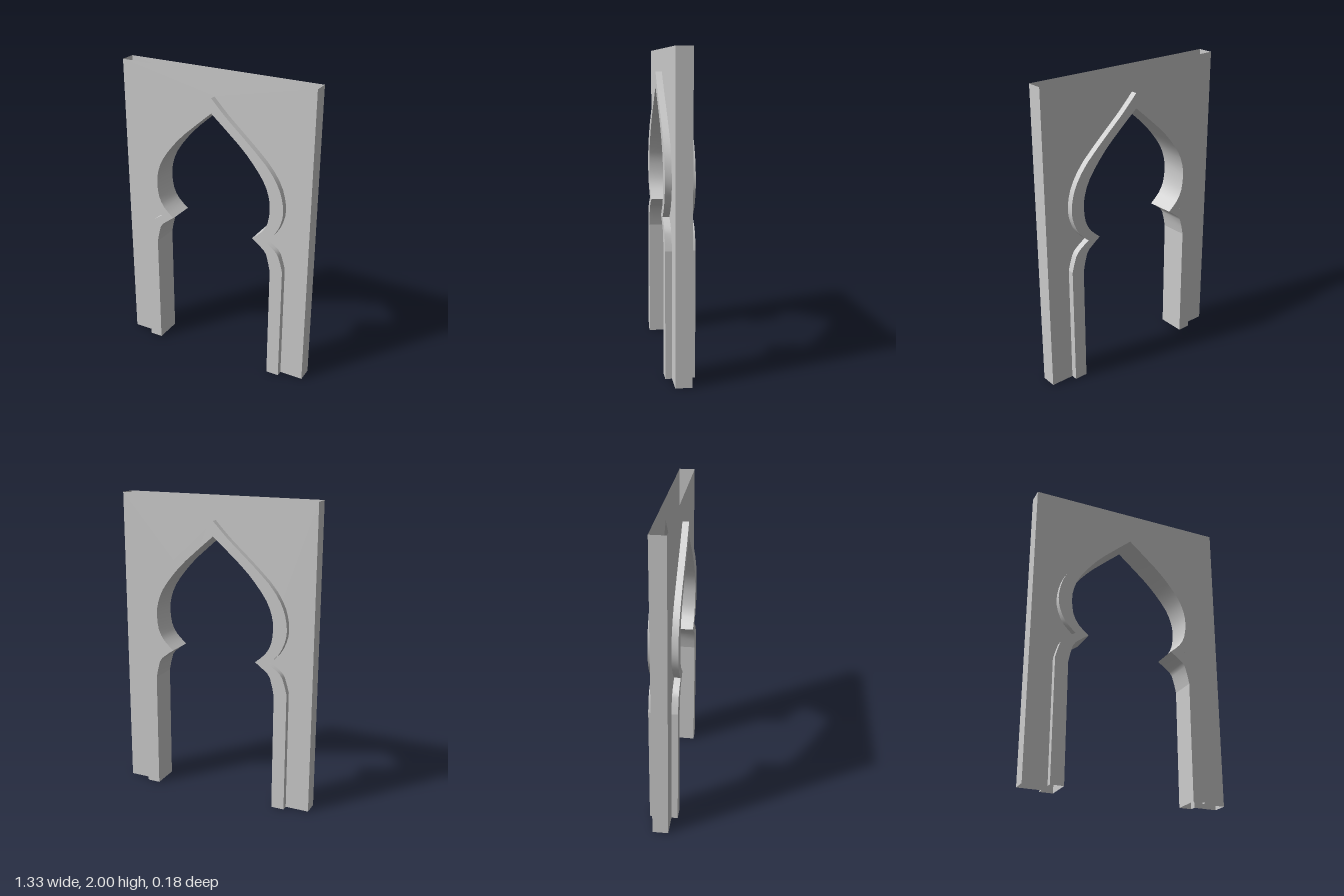
import * as THREE from 'three';

const HALF_W = 0.665, HEIGHT = 2, WALL_Z = 0.051, TRIM_Z = 0.092;
const material = new THREE.MeshStandardMaterial({ color: 0xcccccc, side: THREE.DoubleSide });

// Half outlines (+x side, from the floor to the apex), split at the creases
const INNER = [
  [[0.424, 0], [0.424, 0.78]],
  [[0.424, 0.78], [0.396, 0.895], [0.355, 0.94], [0.293, 0.985]],
  [[0.293, 0.985], [0.36, 1.045], [0.4, 1.12], [0.411, 1.22], [0.4, 1.3], [0.363, 1.39],
    [0.285, 1.495], [0.19, 1.595], [0, 1.76]],
];
const OUTER = [
  [[0.51, 0], [0.51, 0.8]],
  [[0.51, 0.8], [0.48, 0.9], [0.441, 0.945], [0.381, 0.985]],
  [[0.381, 0.985], [0.448, 1.05], [0.488, 1.13], [0.502, 1.21], [0.49, 1.3], [0.455, 1.39],
    [0.375, 1.5], [0.215, 1.65], [0.1, 1.753], [0, 1.856]],
];

// Sample each piece and mirror it, giving pieces from right foot over to left foot
function archPieces(half) {
  const right = half.map(piece => {
    const pts = piece.map(p => new THREE.Vector2(...p));
    return pts.length === 2 ? pts : new THREE.SplineCurve(pts).getPoints((pts.length - 1) * 2);
  });
  const left = right.map(piece =>
    piece.map(p => new THREE.Vector2(-p.x, p.y)).reverse()).reverse();
  return [...right, ...left];
}

// Ribbon running along a path, spanning zA to zB, smooth along its length
function ribbon(points, zA, zB) {
  const pos = [], index = [];
  points.forEach((p, i) => {
    pos.push(p.x, p.y, zA, p.x, p.y, zB);
    if (i) {
      const a = 2 * i - 2;
      index.push(a, a + 1, a + 2, a + 1, a + 3, a + 2);
    }
  });
  const geo = new THREE.BufferGeometry();
  geo.setAttribute('position', new THREE.Float32BufferAttribute(pos, 3));
  geo.setIndex(index);
  geo.computeVertexNormals();
  return geo;
}

export function createModel() {
  const model = new THREE.Group();
  model.name = 'archway';

  const add = (name, geometry) => {
    const mesh = new THREE.Mesh(geometry, material);
    mesh.name = name;
    model.add(mesh);
    return mesh;
  };

  const inner = archPieces(INNER), outer = archPieces(OUTER);
  const innerPath = inner.flat(), outerPath = outer.flat();
  // Drop the doubled points where pieces meet
  const clean = path => path.filter((p, i) => !i || p.distanceTo(path[i - 1]) > 1e-5);
  const innerLine = clean(innerPath), outerLine = clean(outerPath);

  // Flat faces: wall around the trim, and the raised trim band
  const wall = new THREE.Shape([
    new THREE.Vector2(HALF_W, 0), new THREE.Vector2(HALF_W, HEIGHT),
    new THREE.Vector2(-HALF_W, HEIGHT), new THREE.Vector2(-HALF_W, 0),
    ...[...outerLine].reverse(),
  ]);
  const trim = new THREE.Shape([...outerLine, ...[...innerLine].reverse()]);

  for (const side of [1, -1]) {
    const label = side > 0 ? 'front' : 'back';
    const faces = [
      add(label + 'Wall', new THREE.ShapeGeometry(wall)),
      add(label + 'Trim', new THREE.ShapeGeometry(trim)),
    ];
    faces.forEach((face, i) => {
      face.position.z = side * (i ? TRIM_Z : WALL_Z);
      if (side < 0) face.rotation.y = Math.PI;
    });

    // Outer edge of the raised trim
    const [near, far] = side > 0 ? [TRIM_Z, WALL_Z] : [-WALL_Z, -TRIM_Z];
    outer.forEach(piece => add(label + 'TrimEdge', ribbon(piece, near, far)));

    // Outer side of the wall; the hollow top and feet stay open
    const end = new THREE.PlaneGeometry(2 * WALL_Z, HEIGHT);
    end.rotateY(side * Math.PI / 2);
    end.translate(side * HALF_W, HEIGHT / 2, 0);
    add(side > 0 ? 'leftSide' : 'rightSide', end);
  }

  // Inside surface of the opening, full depth
  inner.forEach(piece => add('archReveal', ribbon(piece, -TRIM_Z, TRIM_Z)));

  return model;
}
